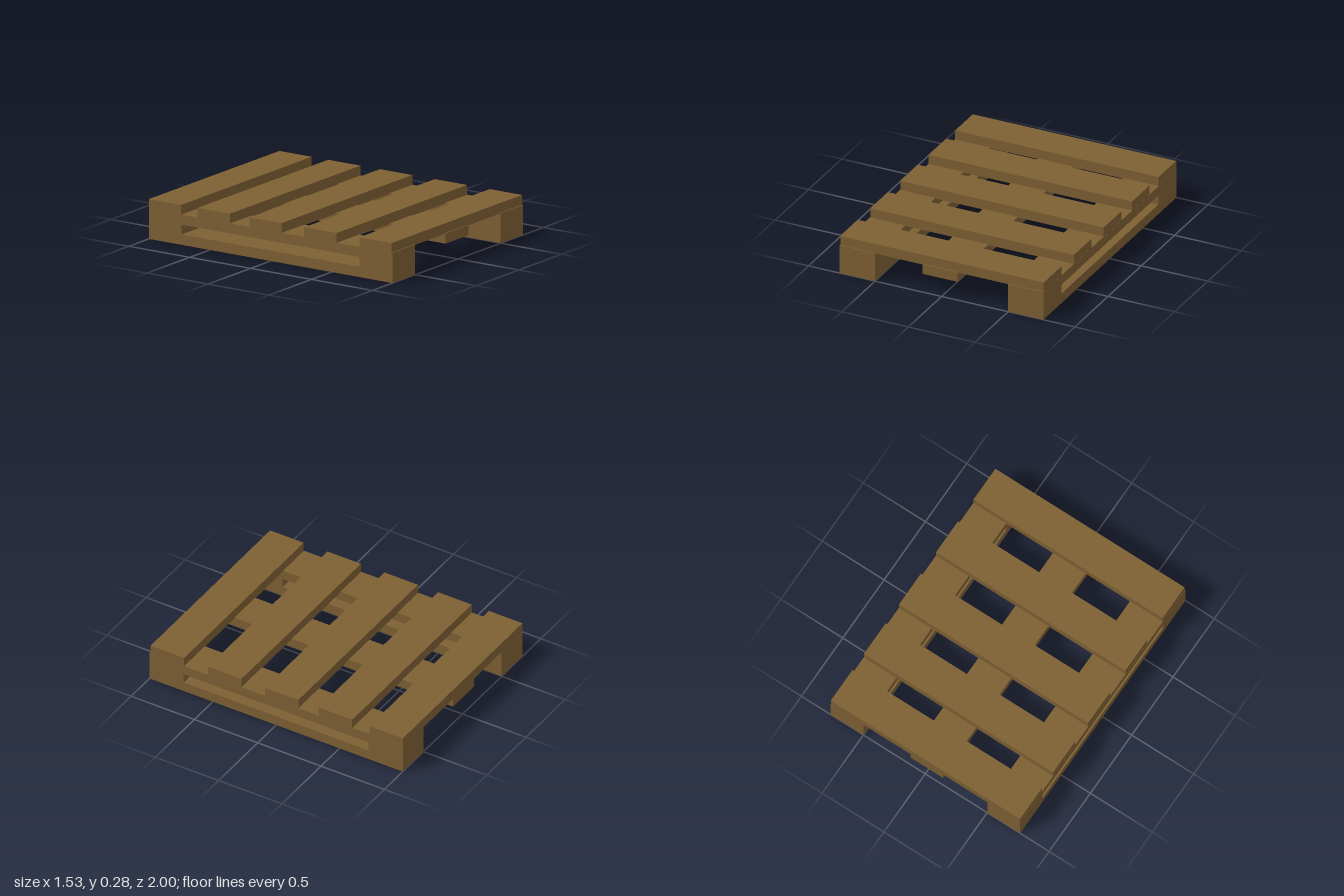
import * as THREE from 'three';

const wood = new THREE.MeshStandardMaterial({ color: 0x7d5f33, flatShading: true });

// Box given by its extents on each axis
function board(name, [x0, x1], [y0, y1], [z0, z1]) {
  const mesh = new THREE.Mesh(new THREE.BoxGeometry(x1 - x0, y1 - y0, z1 - z0), wood);
  mesh.position.set((x0 + x1) / 2, (y0 + y1) / 2, (z0 + z1) / 2);
  mesh.name = name;
  return mesh;
}

export function createModel() {
  const pallet = new THREE.Group();
  pallet.name = 'pallet';
  const width = 0.265;

  // Five deck slats across the top, slightly unevenly spaced
  [-1, -0.6, -0.175, 0.275, 0.727].forEach((z, i) => {
    pallet.add(board(`deckSlat${i + 1}`, [-0.765, 0.763], [0.204, 0.277], [z, z + width]));
  });

  // Side runners: upper stringer, bottom board and a spacer block at each end
  for (const [side, x] of [['right', -0.766], ['left', 0.499]]) {
    const span = [x, x + width];
    const runner = new THREE.Group();
    runner.name = `${side}Runner`;
    runner.add(
      board(`${side}Stringer`, span, [0.14, 0.209], [-1, 1]),
      board(`${side}BottomBoard`, span, [0, 0.072], [-1, 1]),
      board(`${side}BackBlock`, span, [0.072, 0.14], [-1, -0.73]),
      board(`${side}FrontBlock`, span, [0.072, 0.14], [0.73, 1])
    );
    pallet.add(runner);
  }

  // Middle stringer, a little off centre
  pallet.add(board('middleStringer', [-0.144, 0.121], [0.138, 0.209], [-1, 1]));
  return pallet;
}
